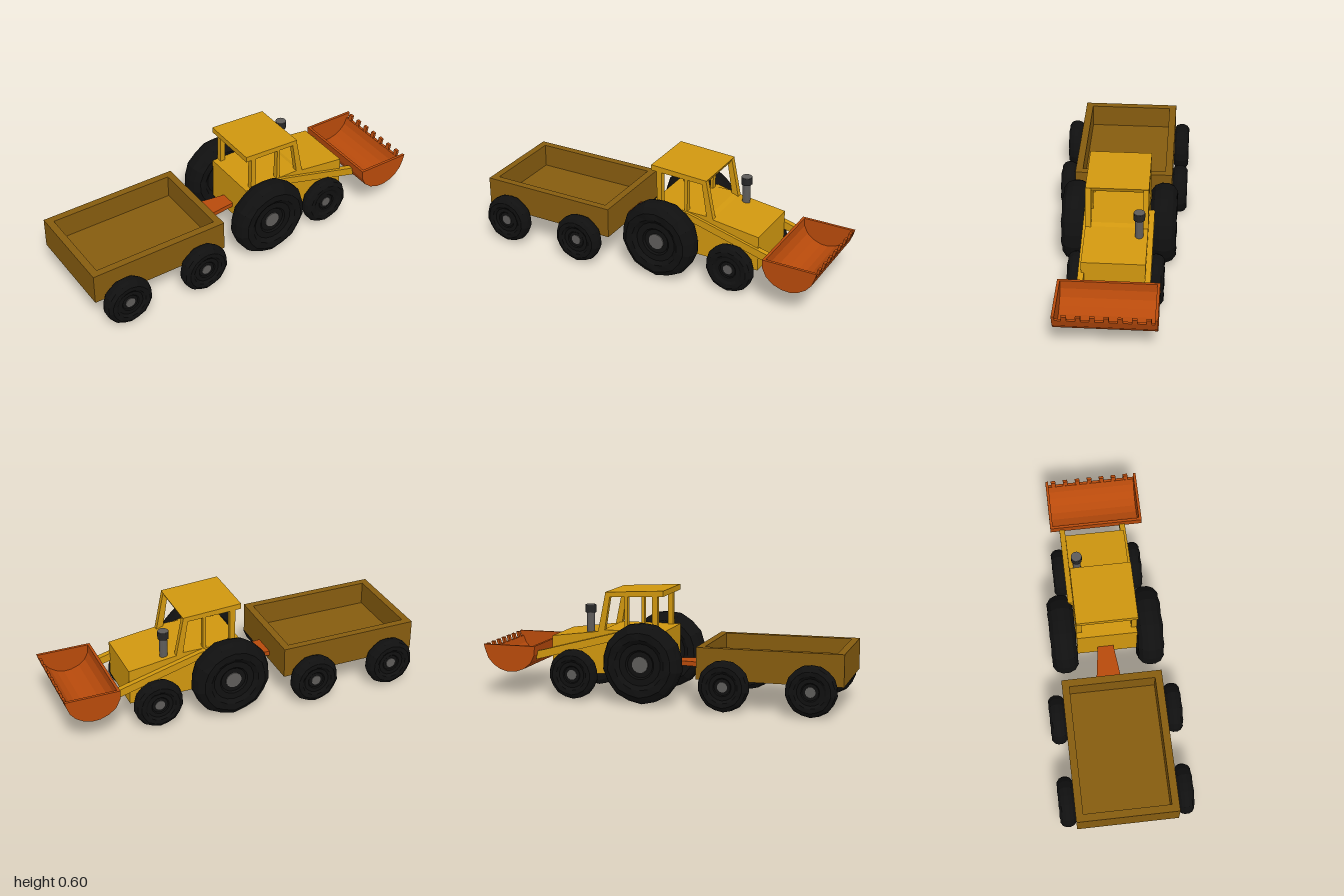
import * as THREE from 'three';

function flat(name, color) {
  const m = new THREE.MeshStandardMaterial({ color, flatShading: true });
  m.name = name;
  return m;
}

export function createModel() {
  const root = new THREE.Group();
  root.name = 'tractorWithTrailer';
  const yellow = flat('yellowPaint', 0xd0970f);
  const brown = flat('brownTrailer', 0x865c0f);
  const orange = flat('orangeSteel', 0xb84a0b);
  const rubber = flat('blackRubber', 0x101010);
  const grey = flat('greyMetal', 0x5e5c5a);
  const dark = flat('darkMetal', 0x262626);

  const add = (parent, name, geometry, material) => {
    const mesh = new THREE.Mesh(geometry, material);
    mesh.name = name;
    parent.add(mesh);
    return mesh;
  };
  const group = (name) => {
    const g = new THREE.Group();
    g.name = name;
    root.add(g);
    return g;
  };
  // Box given by its limits on each axis
  const box = (parent, name, mat, x0, x1, y0, y1, z0, z1) => {
    const mesh = add(parent, name, new THREE.BoxGeometry(x1 - x0, y1 - y0, z1 - z0), mat);
    mesh.position.set((x0 + x1) / 2, (y0 + y1) / 2, (z0 + z1) / 2);
  };
  // Side profile in x,y pulled from z0 to z1
  const slab = (parent, name, mat, points, z0, z1) => {
    const shape = new THREE.Shape(points.map(([x, y]) => new THREE.Vector2(x, y)));
    const geo = new THREE.ExtrudeGeometry(shape, { depth: z1 - z0, bevelEnabled: false });
    geo.translate(0, 0, z0);
    add(parent, name, geo, mat);
  };

  // Wheels: chunky tyre with a dished side and a small hub
  const half = [[0, 0.3], [0.32, 0.3], [0.36, 0.36], [0.52, 0.36], [0.62, 0.47], [0.8, 0.49], [0.94, 0.34], [1, 0.13]];
  const profile = [
    ...half.map(([r, h]) => [r, -h]),
    ...half.slice().reverse(),
  ];
  function wheel(name, x, z, radius, width) {
    const g = group(name);
    const pts = profile.map(([r, h]) => new THREE.Vector2(r * radius, h * width));
    const tyre = new THREE.LatheGeometry(pts, 18);
    const p = tyre.attributes.position;
    // Slightly worn tread: every other spoke of vertices dips in
    for (let i = 0; i < p.count; i++) {
      const spoke = Math.floor(i / pts.length) % 18;
      const r = Math.hypot(p.getX(i), p.getZ(i));
      if (r < radius * 0.7) continue;
      const k = spoke % 2 ? 0.985 : 1;
      p.setXYZ(i, p.getX(i) * k, p.getY(i) * (spoke % 2 ? 0.95 : 1.02), p.getZ(i) * k);
    }
    tyre.rotateX(Math.PI / 2);
    add(g, 'tyre', tyre, rubber);
    const hub = new THREE.CylinderGeometry(radius * 0.2, radius * 0.2, width * 0.68, 14);
    add(g, 'hub', hub.rotateX(Math.PI / 2), grey);
    g.position.set(x, radius + 0.004, z);
  }
  for (const x of [-0.84, -0.38]) {
    wheel('trailerWheelLeft', x, 0.313, 0.136, 0.088);
    wheel('trailerWheelRight', x, -0.321, 0.136, 0.088);
  }
  wheel('rearWheelLeft', 0.083, 0.228, 0.219, 0.145);
  wheel('rearWheelRight', 0.083, -0.246, 0.219, 0.145);
  wheel('frontWheelLeft', 0.485, 0.2, 0.136, 0.078);
  wheel('frontWheelRight', 0.485, -0.222, 0.136, 0.086);

  // Open trailer box
  const trailer = group('trailer');
  box(trailer, 'trailerFloor', brown, -0.96, -0.26, 0.16, 0.2, -0.24, 0.225);
  box(trailer, 'trailerRearWall', brown, -1, -0.96, 0.16, 0.33, -0.28, 0.265);
  box(trailer, 'trailerFrontWall', brown, -0.26, -0.22, 0.16, 0.33, -0.28, 0.265);
  box(trailer, 'trailerLeftWall', brown, -0.96, -0.26, 0.16, 0.33, 0.225, 0.265);
  box(trailer, 'trailerRightWall', brown, -0.96, -0.26, 0.16, 0.33, -0.28, -0.24);

  // Tapered tow bar
  const bar = new THREE.Shape([[-0.22, -0.05], [-0.01, -0.027], [-0.01, 0.06], [-0.22, 0.09]]
    .map(([x, y]) => new THREE.Vector2(x, y)));
  const barGeo = new THREE.ExtrudeGeometry(bar, { depth: 0.025, bevelEnabled: false });
  barGeo.rotateX(-Math.PI / 2).translate(0, 0.19, 0);
  add(root, 'towBar', barGeo, orange);

  // Tractor body with sloping hood
  const tractor = group('tractor');
  const zl = 0.158, zr = -0.172;
  slab(tractor, 'body', yellow, [[-0.01, 0.14], [0.625, 0.14], [0.625, 0.337],
    [0.355, 0.372], [0.33, 0.382], [-0.01, 0.382]], zr, zl);

  // Cab: roof, rear and middle pillars, windscreen pillars
  slab(tractor, 'roof', yellow, [[-0.01, 0.574], [0.305, 0.562], [0.318, 0.588], [-0.01, 0.605]], zr, zl);
  for (const [side, z0, z1] of [['Left', zl - 0.03, zl], ['Right', zr, zr + 0.03]]) {
    box(tractor, 'rearPillar' + side, yellow, 0.023, 0.052, 0.37, 0.58, z0, z1);
    box(tractor, 'middlePillar' + side, yellow, 0.19, 0.207, 0.37, 0.575, z0, z1);
    slab(tractor, 'windscreenPillar' + side, yellow,
      [[0.325, 0.36], [0.362, 0.36], [0.316, 0.585], [0.29, 0.57]], z0, z1);
  }

  // Lifting arms along both sides of the hood
  const arm = [[0.2, 0.345], [0.71, 0.205], [0.71, 0.25], [0.24, 0.375], [0.2, 0.382]];
  slab(tractor, 'liftArmLeft', yellow, arm, 0.143, 0.174);
  slab(tractor, 'liftArmRight', yellow, arm, -0.2, -0.17);

  // Exhaust stack with a dark cap
  const stack = group('exhaust');
  stack.position.set(0.415, 0, -0.128);
  add(stack, 'exhaustPipe', new THREE.CylinderGeometry(0.022, 0.022, 0.13, 14), grey).position.y = 0.41;
  add(stack, 'exhaustCap', new THREE.CylinderGeometry(0.03, 0.03, 0.04, 14), dark).position.y = 0.49;
  add(stack, 'exhaustTop', new THREE.CylinderGeometry(0.029, 0.029, 0.003, 14), grey).position.y = 0.511;

  // Front bucket: curved shell, end plates and a toothed lip
  const bucket = group('bucket');
  const outer = [[0.7, 0.285], [0.703, 0.235], [0.725, 0.19], [0.765, 0.157], [0.815, 0.139],
    [0.86, 0.137], [0.905, 0.15], [0.945, 0.175], [0.975, 0.21], [0.992, 0.255]];
  const inner = [[0.715, 0.285],
    ...outer.slice(1, -1).map(([x, y]) => [0.848 + (x - 0.848) * 0.9, 0.285 + (y - 0.285) * 0.9]),
    [0.977, 0.255]];
  slab(bucket, 'bucketShell', orange, [...outer, ...inner.slice().reverse()], -0.236, 0.256);
  const end = [...outer, [1, 0.285]];
  slab(bucket, 'bucketEndLeft', orange, end, 0.256, 0.271);
  slab(bucket, 'bucketEndRight', orange, end, -0.251, -0.236);
  for (let i = 0; i < 7; i++) {
    const z = 0.21 - i * 0.0695;
    slab(bucket, 'bucketTooth', orange,
      [[0.977, 0.25], [0.991, 0.25], [1, 0.285], [0.985, 0.285]], z - 0.013, z + 0.013);
  }
  return root;
}
